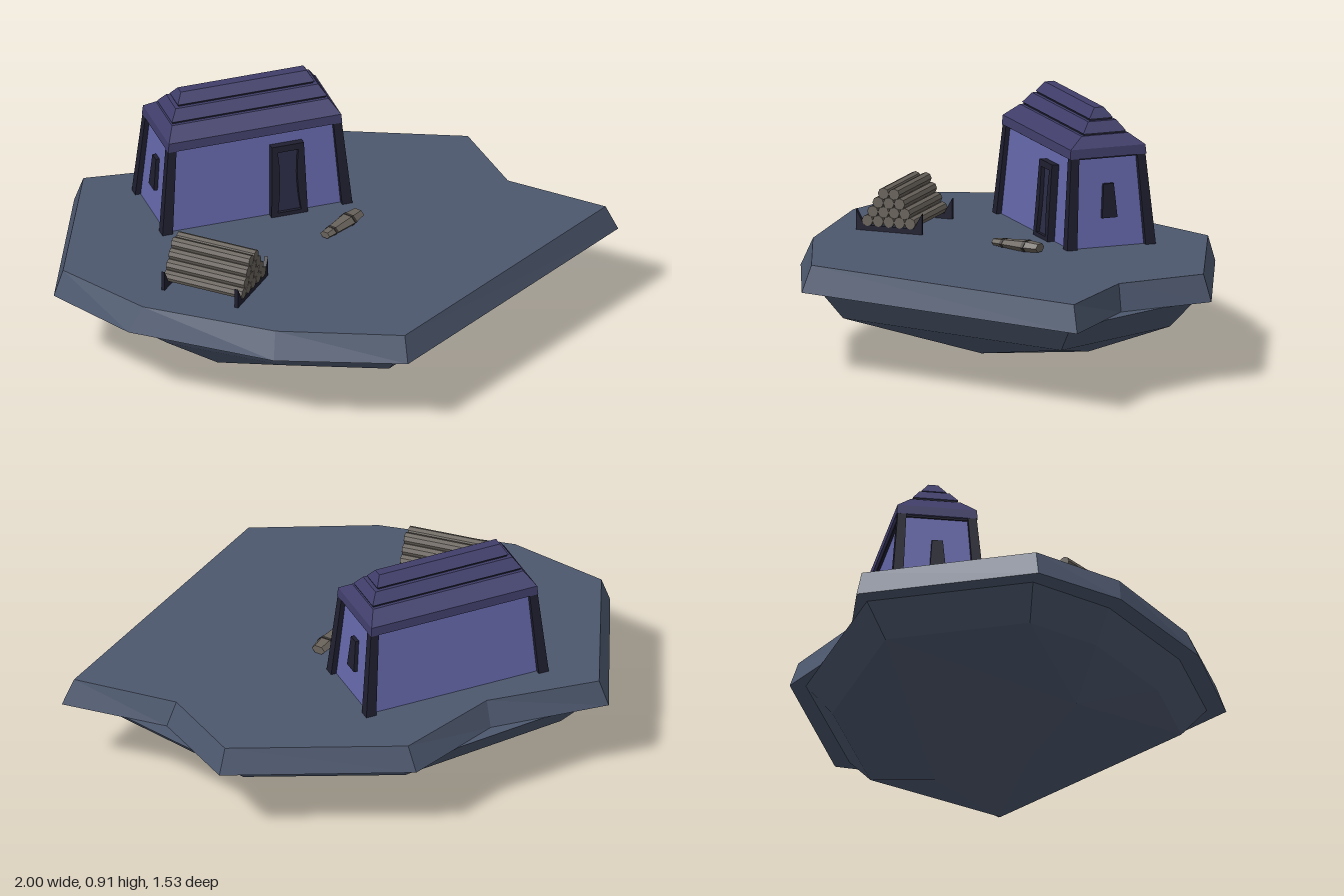
import * as THREE from 'three';
import { ConvexGeometry } from 'three/addons/geometries/ConvexGeometry.js';

const mat = (color) => new THREE.MeshStandardMaterial({ color, flatShading: true });
const ROCK = mat(0x4d586e), WALL = mat(0x6568ac), ROOF = mat(0x403e6a), DARK = mat(0x1f1f30);
const PANEL = mat(0x2b2b45), WOOD = mat(0x68625b), BAND = mat(0x35312f);

function add(parent, name, geometry, material, x = 0, y = 0, z = 0) {
  const mesh = new THREE.Mesh(geometry, material);
  mesh.name = name;
  mesh.position.set(x, y, z);
  parent.add(mesh);
  return mesh;
}

function group(parent, name, x, y, z, turn) {
  const g = new THREE.Group();
  g.name = name;
  g.position.set(x, y, z);
  g.rotation.y = turn;
  parent.add(g);
  return g;
}

// Block standing on y = 0 whose top has its own half sizes and offset
function taper(bx, bz, tx, tz, h, ox = 0, oz = 0) {
  const g = new THREE.BoxGeometry(2, h, 2).translate(0, h / 2, 0);
  const p = g.attributes.position;
  for (let i = 0; i < p.count; i++) {
    const top = p.getY(i) > h / 2;
    p.setX(i, p.getX(i) * (top ? tx : bx) + (top ? ox : 0));
    p.setZ(i, p.getZ(i) * (top ? tz : bz) + (top ? oz : 0));
  }
  g.computeVertexNormals();
  return g;
}

function buildIsland(root) {
  // Rim outline at the lower and upper edge of the slab, as x, z
  const lower = [[-1, -0.3], [-0.57, -0.45], [-0.3, -0.745], [0.42, -0.77], [0.615, -0.45],
    [1, -0.31], [0.34, 0.735], [-0.15, 0.765], [-0.7, 0.62], [-1, 0.39]];
  const upper = [[-0.965, -0.29], [-0.555, -0.42], [-0.27, -0.72], [0.4, -0.74], [0.58, -0.44],
    [0.955, -0.295], [0.325, 0.7], [-0.15, 0.72], [-0.65, 0.6], [-0.968, 0.372]];
  const h = 0.1;
  const shape = new THREE.Shape(lower.map(([x, z]) => new THREE.Vector2(x, -z)));
  const slab = new THREE.ExtrudeGeometry(shape, { depth: h, bevelEnabled: false }).rotateX(-Math.PI / 2);
  const p = slab.attributes.position;
  for (let i = 0; i < p.count; i++) {
    if (p.getY(i) < h / 2) continue;
    const k = lower.findIndex(([x, z]) => Math.hypot(x - p.getX(i), z - p.getZ(i)) < 0.001);
    if (k >= 0) p.setXYZ(i, upper[k][0], h, upper[k][1]);
  }
  slab.computeVertexNormals();
  add(root, 'islandTop', slab, ROCK, 0, 0.312, 0);

  // Faceted rock underneath
  const ring = [[-0.93, -0.28], [-0.28, -0.69], [0.4, -0.71], [0.9, -0.28],
    [0.31, 0.67], [-0.14, 0.69], [-0.64, 0.56], [-0.93, 0.35]];
  const points = [new THREE.Vector3(-0.09, 0, 0.1), new THREE.Vector3(-0.4, 0.055, 0.37),
    new THREE.Vector3(0.08, 0.048, -0.3)];
  for (const [x, z] of ring) {
    points.push(new THREE.Vector3(x, 0.313, z));
    points.push(new THREE.Vector3(x * 0.87 - 0.015, 0.2, z * 0.87 + 0.005));
  }
  add(root, 'islandUnderside', new ConvexGeometry(points), ROCK);
}

function buildHouse(root) {
  const house = group(root, 'house', -0.374, 0.41, -0.224, 0.437);
  const wallH = 0.34;
  add(house, 'walls', taper(0.346, 0.155, 0.317, 0.129, wallH), WALL);
  for (const sx of [-1, 1]) for (const sz of [-1, 1]) {
    add(house, 'cornerPost', taper(0.02, 0.02, 0.016, 0.016, wallH, -sx * 0.028, -sz * 0.025),
      DARK, sx * 0.347, 0, sz * 0.155);
  }

  // Stepped roof: half sizes below and above, then base height and thickness
  const tiers = [[0.336, 0.15, 0.333, 0.147, 0.335, 0.035], [0.333, 0.147, 0.302, 0.092, 0.37, 0.042],
    [0.3, 0.084, 0.275, 0.055, 0.42, 0.038], [0.264, 0.046, 0.243, 0.018, 0.466, 0.036]];
  for (const [bx, bz, tx, tz, y, h] of tiers) add(house, 'roofTier', taper(bx, bz, tx, tz, h), ROOF, 0, y, 0);
  for (const [x, z, y] of [[0.296, 0.08, 0.411], [0.26, 0.042, 0.457]]) {
    add(house, 'roofGroove', taper(x, z, x, z, 0.01), DARK, 0, y, 0);
  }
  add(house, 'eaveShadow', taper(0.326, 0.14, 0.326, 0.14, 0.008), DARK, 0, 0.329, 0);

  // Door frame with a bowed opening, leaning with the wall
  const door = group(house, 'door', 0.122, 0, 0.147, 0);
  door.rotation.x = -0.076;
  const frame = new THREE.Shape([[-0.07, 0], [0.07, 0], [0.062, 0.285], [-0.062, 0.285]]
    .map(([x, y]) => new THREE.Vector2(x, y)));
  const hole = new THREE.Path();
  hole.moveTo(-0.045, 0.015);
  hole.quadraticCurveTo(-0.025, 0.14, -0.04, 0.26);
  hole.lineTo(0.04, 0.26);
  hole.quadraticCurveTo(0.025, 0.14, 0.045, 0.015);
  frame.holes.push(hole);
  add(door, 'doorFrame', new THREE.ExtrudeGeometry(frame, { depth: 0.036, bevelEnabled: false, curveSegments: 5 }), DARK);
  add(door, 'doorPanel', new THREE.BoxGeometry(0.105, 0.26, 0.02), PANEL, 0, 0.14, 0.012);

  // Slit window in each end wall
  for (const s of [-1, 1]) {
    add(house, 'window', taper(0.012, 0.03, 0.012, 0.02, 0.125, -s * 0.011), DARK, s * 0.339, 0.11, 0);
  }
}

function buildWoodpile(root) {
  const pile = group(root, 'woodpile', -0.407, 0.41, 0.398, -0.33);
  const r = 0.0215;
  const log = new THREE.CylinderGeometry(r, r, 0.315, 8).rotateZ(Math.PI / 2);
  for (let row = 0; row < 4; row++) {
    const n = 5 - row;
    for (let i = 0; i < n; i++) {
      add(pile, 'log', log, WOOD, 0, 0.04 + row * 0.035, (i - (n - 1) / 2) * 0.042);
    }
  }
  // Cradle boards with pointed ends
  const board = new THREE.Shape([[-0.13, 0], [0.13, 0], [0.13, 0.08], [0.098, 0.022], [-0.098, 0.022], [-0.13, 0.08]]
    .map(([x, y]) => new THREE.Vector2(x, y)));
  const cradle = new THREE.ExtrudeGeometry(board, { depth: 0.014, bevelEnabled: false })
    .translate(0, 0, -0.007).rotateY(Math.PI / 2);
  for (const s of [-1, 1]) add(pile, 'cradle', cradle, DARK, s * 0.148, 0, 0);
}

function buildBundle(root) {
  // Tapered roll lying on the ground with two straps
  const roll = group(root, 'bundle', 0.012, 0.43, -0.037, 1.03);
  const part = (name, r0, r1, length, x, material) => {
    const g = new THREE.CylinderGeometry(r1, r0, length, 6).rotateZ(-Math.PI / 2);
    add(roll, name, g, material, x, 0, 0).scale.set(1, 0.62, 1);
  };
  part('rollBody', 0.022, 0.036, 0.14, -0.03, WOOD);
  part('rollEnd', 0.036, 0.028, 0.06, 0.07, WOOD);
  part('strap', 0.0275, 0.0285, 0.012, -0.058, BAND);
  part('strap', 0.038, 0.038, 0.012, 0.042, BAND);
}

export function createModel() {
  const root = new THREE.Group();
  root.name = 'floatingIsland';
  buildIsland(root);
  buildHouse(root);
  buildWoodpile(root);
  buildBundle(root);
  return root;
}
